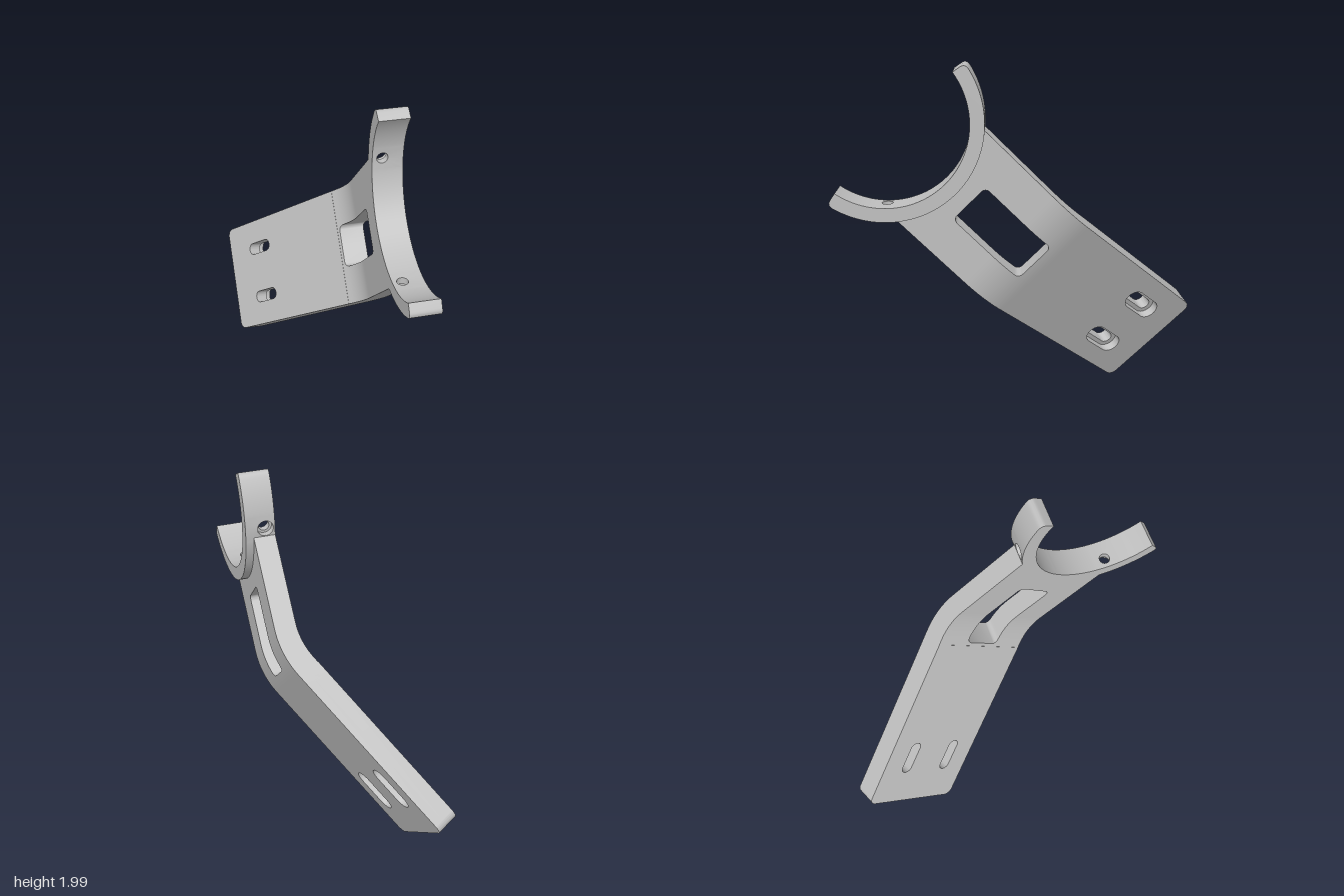
import * as THREE from 'three';
import { mergeGeometries, toCreasedNormals } from 'three/addons/utils/BufferGeometryUtils.js';

const DEG = Math.PI / 180;
const R_IN = 0.44, R_OUT = 0.515;          // clamp radii
const X_IN = 0.225, X_OUT = 0.342, X_RING = 0.385;
const HALF_W = 0.33;                       // half width of the plate

// Local frame: x runs down the bracket from the clamp centre, y across it, z is thickness.

// Skin over a grid of closed loops
function skin(loops, closed) {
  const pos = [], n = loops.length, m = loops[0].length;
  for (let i = 0; i < (closed ? n : n - 1); i++) {
    for (let k = 0; k < m; k++) {
      const a = loops[i][k], b = loops[(i + 1) % n][k];
      const c = loops[(i + 1) % n][(k + 1) % m], d = loops[i][(k + 1) % m];
      pos.push(...a, ...b, ...d, ...b, ...c, ...d);
    }
  }
  const g = new THREE.BufferGeometry();
  g.setAttribute('position', new THREE.Float32BufferAttribute(pos, 3));
  return g;
}

function extrude(shape, z0, z1) {
  const g = new THREE.ExtrudeGeometry(shape, { depth: z1 - z0, bevelEnabled: false, curveSegments: 12 });
  return g.translate(0, 0, z0);
}

// Merge pieces and keep sharp edges crisp
function finish(list) {
  const plain = list.map((g) => {
    const p = g.index ? g.toNonIndexed() : g;
    p.deleteAttribute('uv');
    p.deleteAttribute('normal');
    p.clearGroups();
    return p;
  });
  return toCreasedNormals(mergeGeometries(plain), 25 * DEG);
}

const polar = (r, a) => new THREE.Vector2(r * Math.cos(a), r * Math.sin(a));

function arcPoints(r, a0, a1) {
  const n = Math.max(2, Math.round(Math.abs(a1 - a0) / (2 * DEG)));
  return Array.from({ length: n + 1 }, (_, i) => polar(r, a0 + (a1 - a0) * i / n));
}

// Plain piece of the clamp
function arcPiece(a0, a1) {
  return extrude(new THREE.Shape([...arcPoints(R_OUT, a0, a1), ...arcPoints(R_IN, a1, a0)]), X_IN, X_RING);
}

// Clamp tip with a rounded outer corner, side is +1 or -1
function tipPiece(from, to, side) {
  const cut = to - 3.6 * DEG;
  const corner = new THREE.QuadraticBezierCurve(
    polar(R_OUT, cut), polar(R_OUT, to), polar(R_OUT - 0.032, to)).getPoints(6);
  const pts = [...arcPoints(R_OUT, from, cut), ...corner.slice(1), ...arcPoints(R_IN, to, from)];
  if (side < 0) pts.forEach((p) => { p.y *= -1; });
  return extrude(new THREE.Shape(pts), X_IN, X_RING);
}

// Piece of the clamp with a stepped radial screw hole
function holePiece(mid, half) {
  const xc = 0.277, hole = 0.029, bore = 0.043, step = 0.478;
  const lo = X_IN - xc, hi = X_RING - xc, reach = half * R_OUT;
  const phis = Array.from({ length: 40 }, (_, i) => i * 9 * DEG);
  for (const x of [lo, hi]) {
    for (const a of [reach, -reach]) phis.push((Math.atan2(x, a) + 2 * Math.PI) % (2 * Math.PI));
  }
  phis.sort((a, b) => a - b);
  const at = (r, a, x) => [r * Math.cos(mid + a), r * Math.sin(mid + a), xc + x];
  const circle = (r, rho) => phis.map((p) => at(r, rho * Math.cos(p) / r, rho * Math.sin(p)));
  const border = (r) => phis.map((p) => {
    const c = Math.cos(p), s = Math.sin(p);
    const t = Math.min(reach / Math.max(Math.abs(c), 1e-6), (s > 0 ? hi : lo) / (Math.abs(s) < 1e-6 ? (s > 0 ? 1e-6 : -1e-6) : s));
    return at(r, t * c / R_OUT, t * s);
  });
  return skin([border(R_IN), circle(R_IN, hole), circle(step, hole),
    circle(step, bore), circle(R_OUT, bore), border(R_OUT)], true);
}

// Height of a plate face along its length: straight, 30 degree bend, straight
function bend(s, x0, s0, r) {
  const a = s0 - r * Math.tan(15 * DEG);
  if (s < a) return x0;
  if (s < a + r * 0.5) return x0 - (r - Math.sqrt(r * r - (s - a) ** 2));
  return x0 - Math.tan(30 * DEG) * (s - s0);
}
const innerFace = (s) => bend(s, X_IN, 0.981, 0.4);
const outerFace = (s) => bend(s, X_OUT, 1.03, 0.52);

// Half of the bent plate, beside the window
function bentHalf(side) {
  const w0 = 0.605, w1 = 1.085, hw = 0.12, r = 0.03;
  const stations = [[0.56, 0], [w0, 0]];
  for (let i = 0; i <= 6; i++) {
    const t = i * 15 * DEG;
    stations.push([w0 + r * (1 - Math.cos(t)), hw - r + r * Math.sin(t)]);
  }
  const n = 28, a = w0 + r, b = w1 - r;
  for (let i = 1; i < n; i++) stations.push([a + (b - a) * i / n, hw]);
  for (let i = 6; i >= 0; i--) {
    const t = i * 15 * DEG;
    stations.push([w1 - r * (1 - Math.cos(t)), hw - r + r * Math.sin(t)]);
  }
  for (let i = 0; i <= 8; i++) stations.push([w1 + (1.2 - w1) * i / 8, 0]);
  return skin(stations.map(([s, h]) => {
    const xo = outerFace(s), xi = innerFace(s);
    const loop = [[s, side * h, xo], [s, side * HALF_W, xo], [s, side * HALF_W, xi], [s, side * h, xi]];
    return side > 0 ? loop : loop.reverse();
  }), false);
}

// One layer of the angled flange, with two slots of the given half sizes
function flangeLayer(z0, z1, halfLen, rad) {
  const L = 1.091, r = 0.045, W = HALF_W;
  const shape = new THREE.Shape();
  shape.moveTo(0, -W);
  shape.lineTo(L - r, -W);
  shape.absarc(L - r, -W + r, r, -Math.PI / 2, 0, false);
  shape.absarc(L - r, W - r, r, 0, Math.PI / 2, false);
  shape.lineTo(0, W);
  shape.closePath();
  for (const w of [-0.155, 0.155]) {
    const slot = new THREE.Path(), u = 0.771, d = halfLen - rad;
    slot.absarc(u + d, w, rad, -Math.PI / 2, Math.PI / 2, false);
    slot.absarc(u - d, w, rad, Math.PI / 2, Math.PI * 1.5, false);
    slot.closePath();
    shape.holes.push(slot);
  }
  return extrude(shape, z0, z1);
}

export function createModel() {
  const grey = new THREE.MeshStandardMaterial({ color: 0xc0c0c0 });
  grey.name = 'light grey';
  const model = new THREE.Group();
  model.name = 'bracket';
  const frame = new THREE.Group();
  frame.name = 'tiltedBracket';
  const add = (name, list) => {
    const mesh = new THREE.Mesh(finish(list), grey);
    mesh.name = name;
    frame.add(mesh);
    return mesh;
  };

  // Open clamp
  const half = 8 * DEG, at = 45 * DEG;
  const ring = [arcPiece(-at + half, at - half)];
  for (const side of [1, -1]) {
    ring.push(holePiece(side * at, half), tipPiece(at + half, 80 * DEG, side));
  }
  add('clamp', ring);

  // Neck joining the clamp, then the bent plate with its window
  const edge = Math.asin(HALF_W / (R_OUT - 0.004));
  const neck = new THREE.Shape([new THREE.Vector2(0.56, -HALF_W), new THREE.Vector2(0.56, HALF_W),
    ...arcPoints(R_OUT - 0.004, edge, -edge)]);
  add('bentPlate', [extrude(neck, X_IN, X_OUT), bentHalf(1), bentHalf(-1)]);

  // Angled flange with stepped slots
  const t = 0.127, s = 1.165;
  const flange = add('slottedFlange', [flangeLayer(0, t - 0.05, 0.105, 0.035), flangeLayer(t - 0.05, t, 0.135, 0.06)]);
  flange.rotation.y = 30 * DEG;
  flange.position.set(s - t * 0.5, 0, outerFace(s) - t * Math.cos(30 * DEG));

  // Tilt the whole bracket 45 degrees
  const q = Math.SQRT1_2;
  frame.quaternion.setFromRotationMatrix(new THREE.Matrix4().makeBasis(
    new THREE.Vector3(0, -q, -q), new THREE.Vector3(0, q, -q), new THREE.Vector3(1, 0, 0)));
  frame.position.set(0, 1.71, 0.71);
  model.add(frame);
  return model;
}
